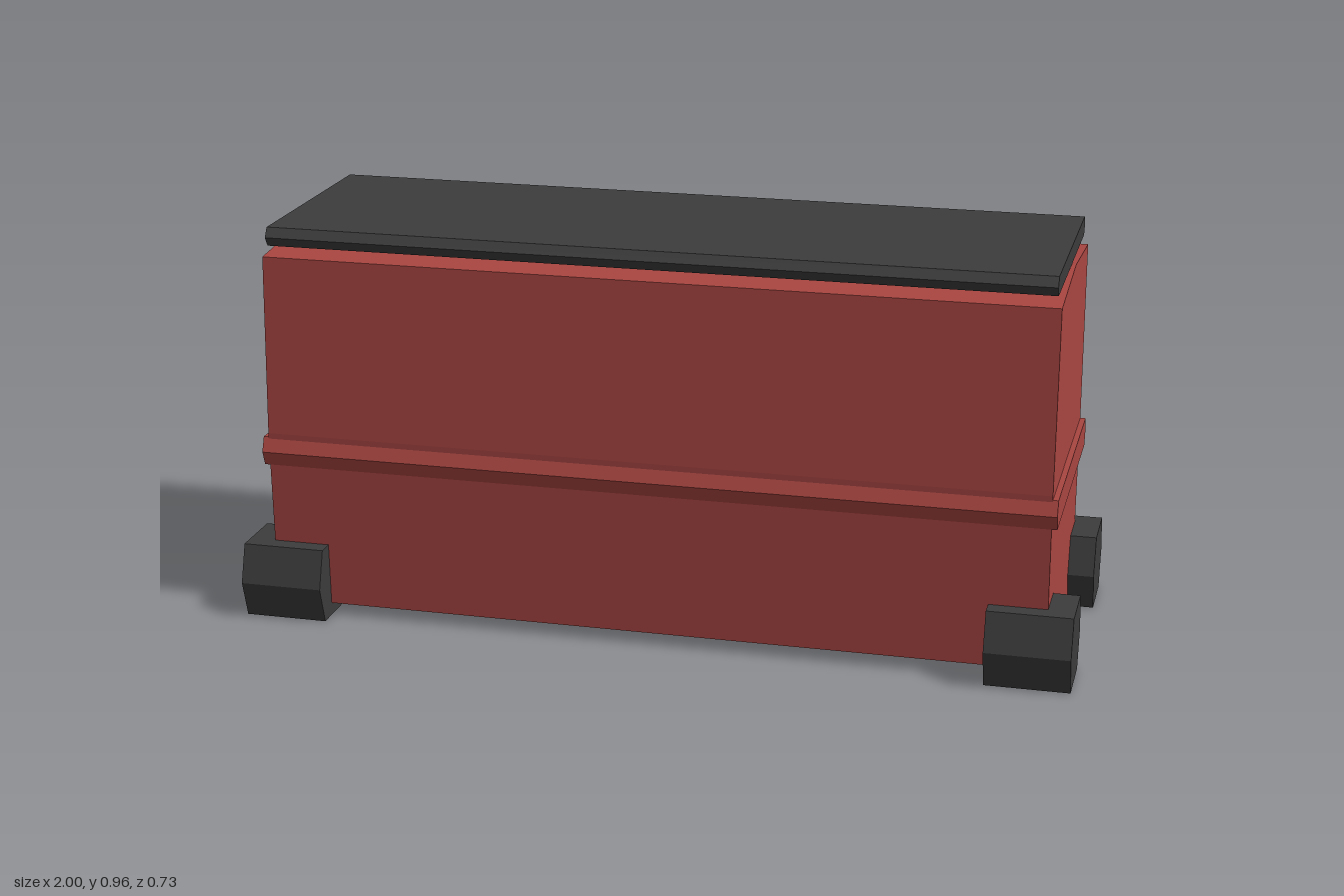
import * as THREE from 'three';

const red = new THREE.MeshStandardMaterial({ name: 'brick red', color: 0xaa4642 });
const charcoal = new THREE.MeshStandardMaterial({ name: 'charcoal', color: 0x3c3c3c });

// Prism running along x from a [z, y] outline, centred on x = 0
function prism(name, outline, length, material) {
  const shape = new THREE.Shape(outline.map(([z, y]) => new THREE.Vector2(z, y)));
  const geometry = new THREE.ExtrudeGeometry(shape, { depth: length, bevelEnabled: false });
  geometry.translate(0, 0, -length / 2).rotateY(Math.PI / 2);
  const mesh = new THREE.Mesh(geometry, material);
  mesh.name = name;
  return mesh;
}

// Hexagon pointing sideways: half width at the points and at the flats
function hexagon(point, flat, bottom, top) {
  const middle = (bottom + top) / 2;
  return [[-flat, bottom], [flat, bottom], [point, middle], [flat, top], [-flat, top], [-point, middle]];
}

export function createModel() {
  const model = new THREE.Group();
  model.name = 'wagon';

  // Tall body with shallow peaks above and below and slightly bulging sides
  model.add(prism('body', [
    [0, 0.003], [0.291, 0.03], [0.306, 0.46], [0.29, 0.892],
    [0, 0.917], [-0.29, 0.892], [-0.306, 0.46], [-0.291, 0.03],
  ], 1.874, red));

  // Raised band around the waist
  model.add(prism('waistBand', hexagon(0.318, 0.304, 0.38, 0.45), 1.9, red));

  // Thin roof slab resting on the peak
  model.add(prism('roof', hexagon(0.293, 0.279, 0.917, 0.962), 1.854, charcoal));

  // Six-sided wheels at the corners
  for (const x of [-1, 1]) {
    for (const z of [-1, 1]) {
      const name = (z > 0 ? 'front' : 'back') + (x > 0 ? 'Left' : 'Right') + 'Wheel';
      const wheel = prism(name, hexagon(0.101, 0.0725, 0, 0.183), 0.2, charcoal);
      wheel.position.set(x * 0.9, 0, z * 0.265);
      model.add(wheel);
    }
  }
  return model;
}
